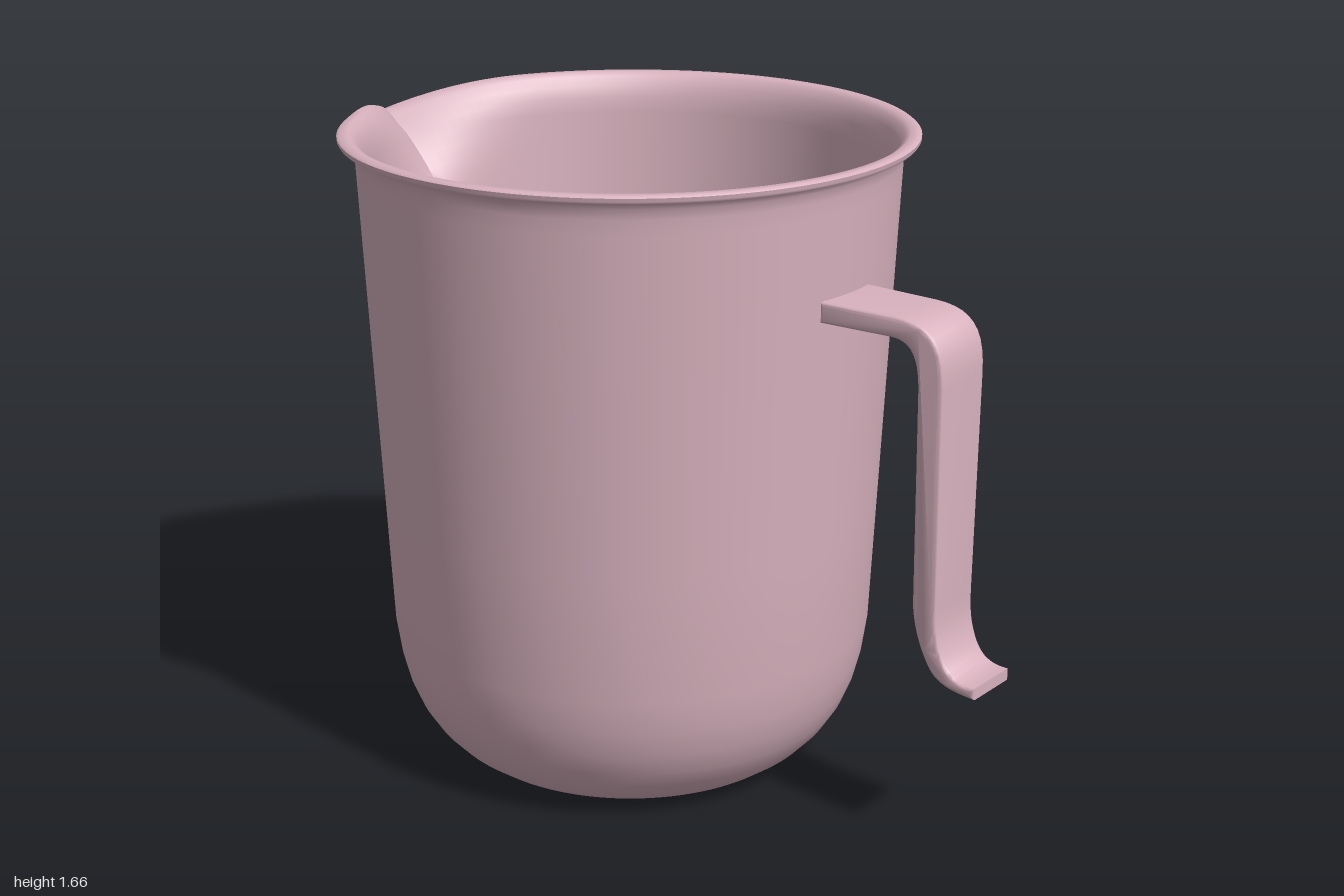
import * as THREE from 'three';
import { toCreasedNormals } from 'three/addons/utils/BufferGeometryUtils.js';

const CUP_X = -0.118;

// Outer wall, rolled rim, then back down the inside to the floor
function cupProfile() {
  const wallRows = [0.7, 1.05, 1.3, 1.36, 1.4, 1.44, 1.48, 1.52, 1.56, 1.6];
  const outerR = (y) => 0.629 + (0.056 * (y - 0.37)) / 1.23;
  const pts = [[0, 0], [0.38, 0], [0.41, 0.004], [0.455, 0.022], [0.5, 0.055], [0.54, 0.098],
    [0.573, 0.15], [0.598, 0.21], [0.616, 0.28], [0.629, 0.37]];
  wallRows.forEach((y) => pts.push([outerR(y), y]));
  pts.push([0.689, 1.625], [0.698, 1.64], [0.71, 1.646], [0.724, 1.646], [0.728, 1.652],
    [0.728, 1.66], [0.722, 1.665], [0.7, 1.665], [0.685, 1.655], [0.673, 1.63]);
  [...wallRows].reverse().forEach((y) => pts.push([outerR(y) - 0.022, y]));
  pts.push([0.607, 0.37], [0.594, 0.28], [0.576, 0.215], [0.551, 0.16], [0.52, 0.112],
    [0.483, 0.072], [0.44, 0.042], [0.4, 0.026], [0.37, 0.022], [0, 0.022]);
  return pts.map(([r, y]) => new THREE.Vector2(r, y));
}

// Pull the upper wall outward towards -x and dip the lip to form the spout
function pullSpout(geometry) {
  const p = geometry.attributes.position;
  for (let i = 0; i < p.count; i++) {
    const x = p.getX(i), y = p.getY(i), z = p.getZ(i);
    const t = THREE.MathUtils.clamp((y - 1.36) / 0.285, 0, 1);
    if (t === 0) continue;
    const r = Math.hypot(x, z);
    const angle = Math.abs(Math.atan2(z, -x));
    const width = THREE.MathUtils.degToRad(36) * (0.5 + 0.5 * t);
    const f = Math.pow(Math.max(0, 1 - angle / width), 2.6);
    const k = (r + 0.154 * f * Math.pow(t, 1.4)) / r;
    p.setXYZ(i, x * k, y - 0.075 * Math.pow(f, 1.2) * t, z * k);
  }
}

function makeCup(material) {
  const geometry = new THREE.LatheGeometry(cupProfile(), 160);
  pullSpout(geometry);
  const cup = new THREE.Mesh(toCreasedNormals(geometry, 0.7), material);
  cup.name = 'cupWithSpout';
  cup.position.x = CUP_X;
  return cup;
}

// Open hook handle: side outline extruded across z, narrowing towards the foot
function makeHandle(material) {
  const s = new THREE.Shape();
  s.moveTo(0.545, 1.3);
  s.lineTo(0.745, 1.302);
  s.bezierCurveTo(0.8, 1.3, 0.816, 1.26, 0.818, 1.19);
  s.lineTo(0.82, 0.65);
  s.bezierCurveTo(0.822, 0.59, 0.845, 0.53, 0.87, 0.492);
  s.bezierCurveTo(0.895, 0.455, 0.94, 0.448, 1, 0.445);
  s.lineTo(1, 0.475);
  s.bezierCurveTo(0.95, 0.472, 0.925, 0.488, 0.907, 0.525);
  s.bezierCurveTo(0.892, 0.56, 0.885, 0.59, 0.885, 0.65);
  s.lineTo(0.885, 1.2);
  s.bezierCurveTo(0.885, 1.31, 0.85, 1.352, 0.745, 1.353);
  s.lineTo(0.545, 1.353);
  const bevel = 0.01;
  const geometry = new THREE.ExtrudeGeometry(s, {
    depth: 0.2 - 2 * bevel, curveSegments: 10,
    bevelThickness: bevel, bevelSize: bevel, bevelOffset: -bevel, bevelSegments: 3,
  });
  geometry.translate(0, 0, -0.1 + bevel);
  const p = geometry.attributes.position;
  for (let i = 0; i < p.count; i++) {
    const drop = THREE.MathUtils.clamp((1.3 - p.getY(i)) / 0.85, 0, 1);
    const out = THREE.MathUtils.clamp((p.getX(i) - 0.55) / 0.3, 0, 1);
    p.setZ(i, p.getZ(i) * (1.03 - 0.1 * out - 0.13 * drop));
  }
  const handle = new THREE.Mesh(toCreasedNormals(geometry, 0.7), material);
  handle.name = 'handle';
  return handle;
}

export function createModel() {
  const pink = new THREE.MeshStandardMaterial({ color: 0xd8b2be });
  pink.name = 'dusty pink';
  const group = new THREE.Group();
  group.name = 'measuringJug';
  group.add(makeCup(pink), makeHandle(pink));
  return group;
}
